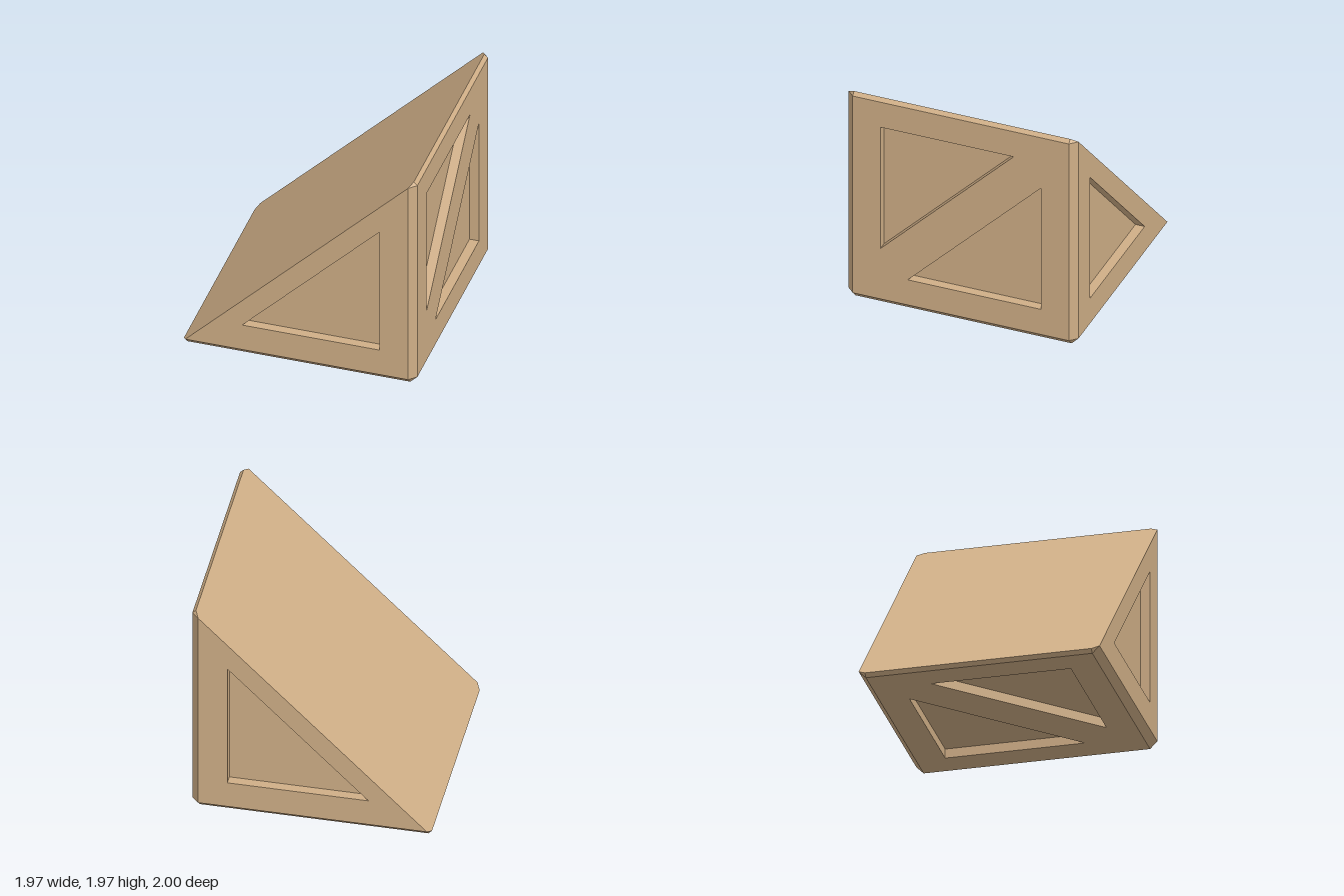
import * as THREE from 'three';

const X = new THREE.Vector3(1, 0, 0);
const Y = new THREE.Vector3(0, 1, 0);
const Z = new THREE.Vector3(0, 0, 1);
const DEPTH = 0.08; // recess depth

// Flat-shaded convex polygons, each turned away from (or toward) a reference point
function facets(polygons, ref, toward = false) {
  const pos = [];
  for (const poly of polygons) {
    const p = poly.map((q) => new THREE.Vector3(...q));
    for (let i = 1; i < p.length - 1; i++) {
      const tri = [p[0], p[i], p[i + 1]];
      const n = tri[1].clone().sub(tri[0]).cross(tri[2].clone().sub(tri[0]));
      const outward = n.dot(tri[0].clone().sub(ref)) > 0;
      if (outward === toward) tri.reverse();
      tri.forEach((t) => pos.push(t.x, t.y, t.z));
    }
  }
  const geo = new THREE.BufferGeometry();
  geo.setAttribute('position', new THREE.Float32BufferAttribute(pos, 3));
  geo.computeVertexNormals();
  return geo;
}

export function createModel() {
  const model = new THREE.Group();
  model.name = 'wedgeCrate';
  const wood = new THREE.MeshStandardMaterial({ color: 0xd0af87 });
  wood.name = 'tan wood';

  const add = (parent, name, geo) => {
    const mesh = new THREE.Mesh(geo, wood);
    mesh.name = name;
    parent.add(mesh);
    return mesh;
  };

  // Corner points of one end, s = +1 front, s = -1 back
  const corners = (s) => ({
    A: [-0.955, 0.06, s], B: [0.925, 0.06, s], C: [0.925, 1.94, s],
    D: [-0.985, 0.03, 0.94 * s], E: [-0.955, 0, 0.94 * s], F: [0.925, 0, 0.94 * s],
    G: [0.985, 0.06, 0.94 * s], H: [0.985, 1.94, 0.94 * s], I: [0.955, 1.97, 0.94 * s],
  });
  const f = corners(1), b = corners(-1);
  const centre = new THREE.Vector3(0.3, 0.6, 0);

  // Sloping top
  add(model, 'slope', facets([[f.D, f.A, f.C, f.I, b.I, b.C, b.A, b.D]], centre));

  // Chamfered edges and corners
  const bevels = [[f.F, f.G, b.G, b.F], [f.H, f.I, b.I, b.H], [f.D, f.E, b.E, b.D]];
  for (const { A, B, C, D, E, F, G, H, I } of [f, b]) {
    bevels.push([A, B, F, E], [B, C, H, G], [B, F, G], [C, H, I], [A, D, E]);
  }
  add(model, 'chamferedEdges', facets(bevels, centre));

  // Flat panel facing u x v, with sunken areas
  function panel(name, u, v, offset, outline, holes) {
    const group = new THREE.Group();
    group.name = name;
    const n = u.clone().cross(v);
    group.matrix.makeBasis(u, v, n).setPosition(n.clone().multiplyScalar(offset));
    group.matrix.decompose(group.position, group.quaternion, group.scale);

    const points = (list) => list.map(([x, y]) => new THREE.Vector2(x, y));
    const shape = new THREE.Shape(points(outline));
    shape.holes = holes.map((h) => new THREE.Path(points(h)));
    add(group, name + 'Frame', new THREE.ShapeGeometry(shape));

    for (const h of holes) {
      const mid = new THREE.Vector3(0, 0, -DEPTH / 2);
      h.forEach(([x, y]) => { mid.x += x / 3; mid.y += y / 3; });
      const faces = [h.map(([x, y]) => [x, y, -DEPTH])];
      h.forEach((p, i) => {
        const q = h[(i + 1) % h.length];
        faces.push([[...p, 0], [...q, 0], [...q, -DEPTH], [...p, -DEPTH]]);
      });
      add(group, name + 'Recess', facets(faces, mid, true));
    }
    model.add(group);
  }

  // Triangular ends
  const swap = (list) => list.map(([x, y]) => [y, x]);
  const end = [[-0.955, 0.06], [0.925, 0.06], [0.925, 1.94]];
  const endHole = [[-0.475, 0.3], [0.685, 0.3], [0.685, 1.46]];
  panel('frontPanel', X, Y, 1, end, [endHole]);
  panel('backPanel', Y, X, 1, swap(end), [swap(endHole)]);

  // Square sides, two triangles either side of a diagonal brace
  const square = (u0) => [[u0, -0.94], [u0 + 1.88, -0.94], [u0 + 1.88, 0.94], [u0, 0.94]];
  panel('sidePanel', Y, Z, 0.985, square(0.06), [
    [[1.7, 0.7], [1.7, -0.46], [0.54, 0.7]],
    [[0.3, -0.7], [0.3, 0.46], [1.46, -0.7]],
  ]);
  panel('bottomPanel', X, Z, 0, square(-0.955), [
    [[0.685, -0.7], [0.685, 0.46], [-0.475, -0.7]],
    [[-0.715, 0.7], [-0.715, -0.46], [0.445, 0.7]],
  ]);

  return model;
}
